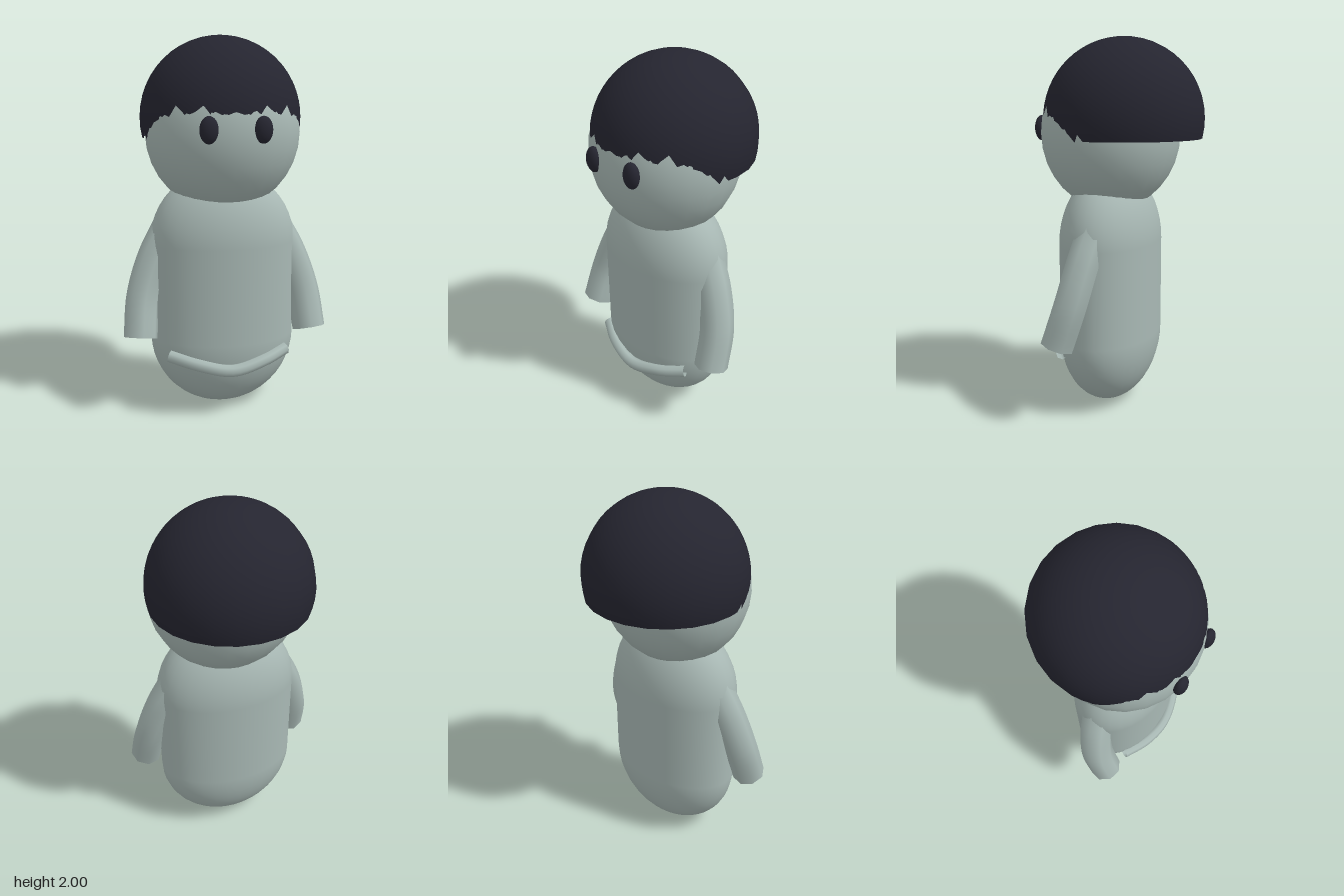
import * as THREE from 'three';

const skin = new THREE.MeshStandardMaterial({ color: 0xa8b8b4, side: THREE.DoubleSide });
skin.name = 'pale grey green';
const dark = new THREE.MeshStandardMaterial({ color: 0x252530, side: THREE.DoubleSide });
dark.name = 'dark navy';

function add(group, name, geometry, material) {
  const mesh = new THREE.Mesh(geometry, material);
  mesh.name = name;
  group.add(mesh);
  return mesh;
}

function ellipsoid(rx, ry, rz, segments = 24) {
  return new THREE.SphereGeometry(1, segments, 16).scale(rx, ry, rz);
}

function tube(points, radius, sides, steps = 16) {
  const curve = new THREE.CatmullRomCurve3(points.map((p) => new THREE.Vector3(...p)));
  return new THREE.TubeGeometry(curve, steps, radius, sides, false);
}

// Cap of hair: a sphere cut off at a ragged fringe in front and level behind
function hairGeometry() {
  const radius = 0.43, level = 1.47, centre = new THREE.Vector3(0, 1.57, -0.012), rows = 14;
  // [degrees from the front, height of the edge]
  const fringe = [
    [0, 1.59], [8, 1.6], [15, 1.575], [18, 1.61], [21.5, 1.64], [25, 1.62], [28, 1.605], [31, 1.57],
    [36, 1.61], [41, 1.64], [46, 1.585], [50, 1.595], [54, 1.575], [61, 1.555], [66, 1.52],
    [70, 1.505], [75, 1.465], [78, 1.505], [80, 1.485], [82, level],
  ];
  for (let a = 90; a <= 180; a += 15) fringe.push([a, level]);
  const mirrored = fringe.slice(1).reverse().map(([a, y]) => [-a, y]);
  const rim = [...mirrored, ...fringe];

  const positions = [], normals = [], index = [];
  rim.forEach(([angle, y], i) => {
    const a = THREE.MathUtils.degToRad(angle);
    const end = Math.acos((y - centre.y) / radius);
    for (let j = 0; j <= rows; j++) {
      const n = new THREE.Vector3().setFromSphericalCoords(1, (end * j) / rows, a);
      normals.push(n.x, n.y, n.z);
      n.multiplyScalar(radius).add(centre);
      positions.push(n.x, n.y, n.z);
      if (i < rim.length - 1 && j < rows) {
        const p = i * (rows + 1) + j, q = p + rows + 1;
        index.push(p, p + 1, q + 1);
        if (j > 0) index.push(p, q + 1, q);
      }
    }
  });
  const geometry = new THREE.BufferGeometry();
  geometry.setAttribute('position', new THREE.Float32BufferAttribute(positions, 3));
  geometry.setAttribute('normal', new THREE.Float32BufferAttribute(normals, 3));
  geometry.setIndex(index);
  return geometry;
}

export function createModel() {
  const model = new THREE.Group();
  model.name = 'figure';

  // Flattened capsule body
  const body = new THREE.CapsuleGeometry(0.395, 0.515, 12, 32).scale(1, 1, 0.66);
  add(model, 'body', body, skin).position.set(0, 0.655, 0.06);

  // Head and hair
  add(model, 'head', ellipsoid(0.41, 0.42, 0.37), skin).position.set(0, 1.5, 0.06);
  add(model, 'hair', hairGeometry(), dark);

  // Eyes and open sleeves
  for (const side of [1, -1]) {
    const label = side > 0 ? 'left' : 'right';
    add(model, label + 'Eye', ellipsoid(0.047, 0.067, 0.034, 16), dark)
      .position.set(side * 0.134, 1.525, 0.411);
    const path = [[0.29, 1.0, 0.05], [0.375, 0.84, 0.075], [0.44, 0.64, 0.115], [0.463, 0.43, 0.18]];
    add(model, label + 'Arm', tube(path.map(([x, y, z]) => [side * x, y, z]), 0.09, 8), skin);
  }

  // Curved roll across the belly
  const roll = [[-0.315, 0.333, 0.225], [-0.17, 0.3, 0.3], [0, 0.27, 0.332], [0.17, 0.3, 0.3], [0.315, 0.333, 0.225]];
  add(model, 'bellyRoll', tube(roll, 0.033, 8, 20), skin);

  return model;
}
